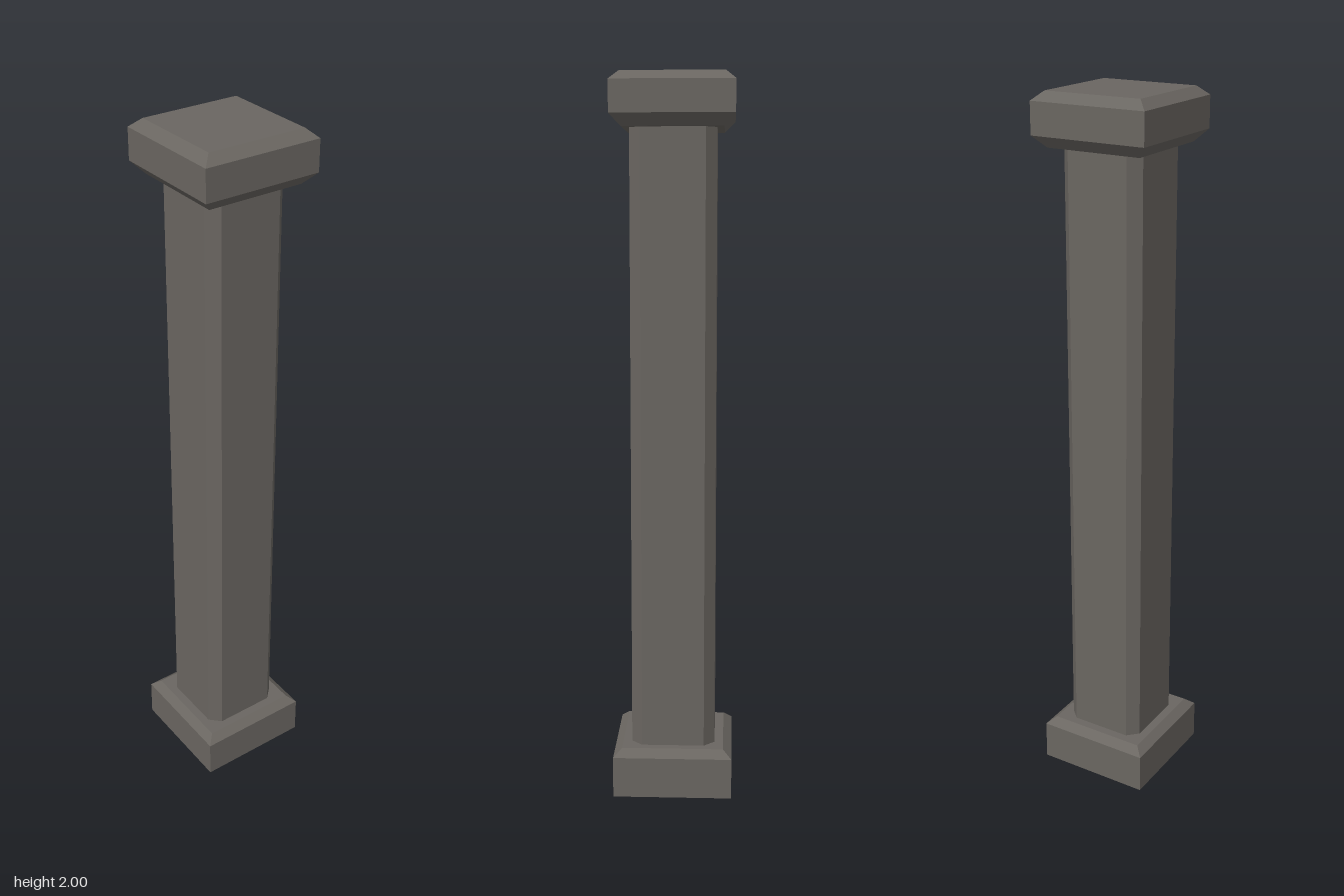
import * as THREE from 'three';

const stone = new THREE.MeshStandardMaterial({ color: 0x6a6661 });
stone.name = 'stone grey';

// Square block from [half width, height] pairs, listed bottom to top
function squareBlock(name, profile) {
  const points = profile.map(([half, y]) => new THREE.Vector2(half * Math.SQRT2, y));
  const geometry = new THREE.LatheGeometry(points, 4).rotateY(Math.PI / 4).toNonIndexed();
  geometry.computeVertexNormals();
  const mesh = new THREE.Mesh(geometry, stone);
  mesh.name = name;
  return mesh;
}

// Square shaft with its four upright corners cut off
function chamferedShaft(half, flat, bottom, top) {
  const corners = [];
  for (let i = 0; i < 4; i++) {
    for (const side of [-flat, flat]) {
      corners.push(new THREE.Vector2(half, side).rotateAround(new THREE.Vector2(), i * Math.PI / 2));
    }
  }
  const geometry = new THREE.ExtrudeGeometry(new THREE.Shape(corners), {
    depth: top - bottom, bevelEnabled: false,
  });
  geometry.rotateX(-Math.PI / 2).translate(0, bottom, 0);
  const mesh = new THREE.Mesh(geometry, stone);
  mesh.name = 'shaft';
  return mesh;
}

export function createModel() {
  const pillar = new THREE.Group();
  pillar.name = 'pillar';
  pillar.add(
    // Plinth with a bevelled upper edge
    squareBlock('base', [[0, 0], [0.167, 0], [0.167, 0.115], [0.143, 0.136], [0, 0.136]]),
    chamferedShaft(0.118, 0.088, 0.13, 1.865),
    // Cap bevelled above and below
    squareBlock('capital', [[0, 1.858], [0.137, 1.858], [0.167, 1.89], [0.167, 1.976], [0.14, 2], [0, 2]]),
  );
  return pillar;
}
